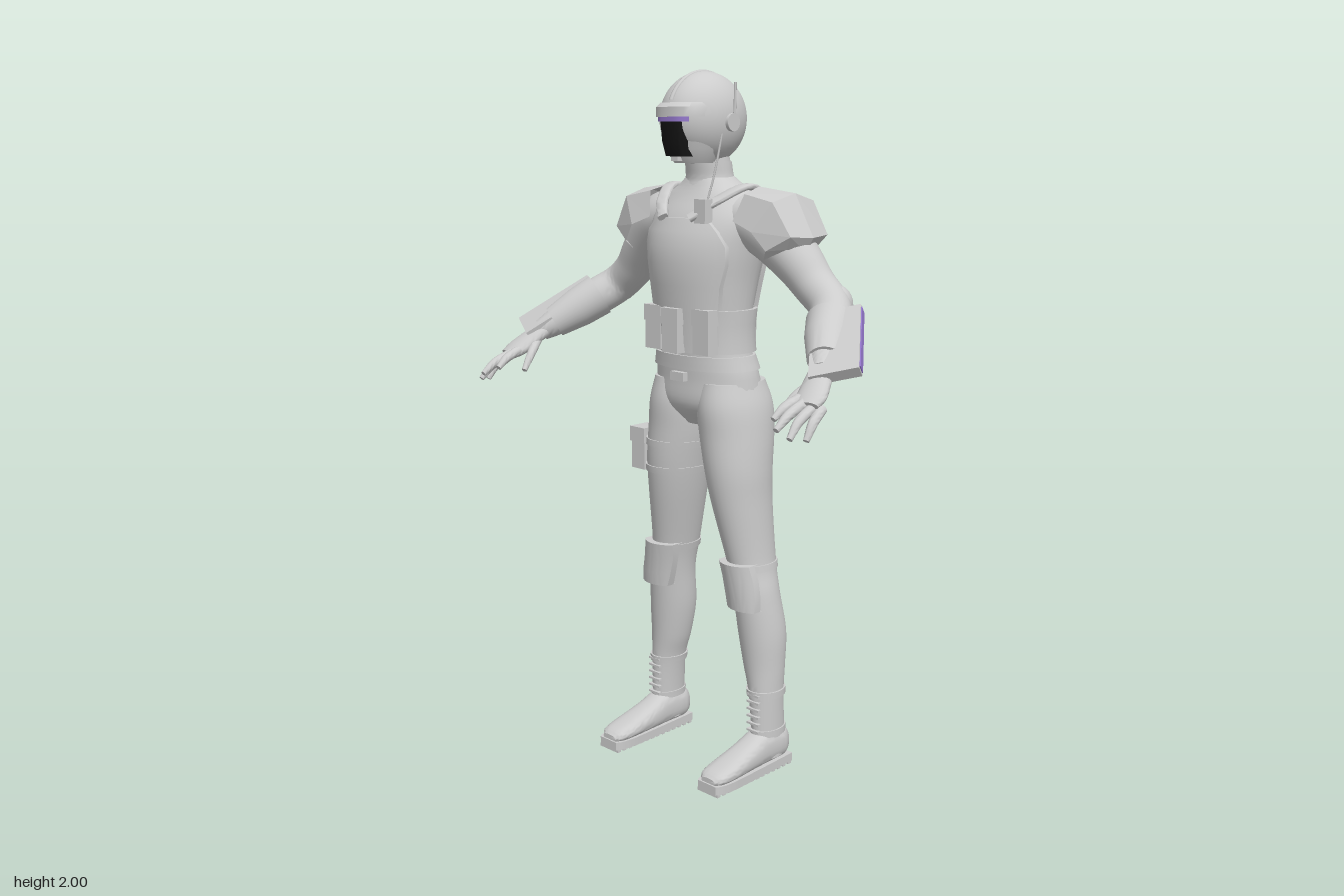
import * as THREE from 'three';
import { toCreasedNormals } from 'three/addons/utils/BufferGeometryUtils.js';

const V = (x, y, z) => new THREE.Vector3(x, y, z);
const UP = V(0, 1, 0), SIDE = V(1, 0, 0);

// Surface through rows of points; closed rows wrap around and get end caps
function grid(rows, closed) {
  const m = rows[0].length, pos = rows.flat().flatMap(p => [p.x, p.y, p.z]), idx = [];
  for (let i = 0; i < rows.length - 1; i++) for (let j = 0; j < (closed ? m : m - 1); j++) {
    const a = i * m + j, b = i * m + (j + 1) % m;
    idx.push(a, a + m, b, b, a + m, b + m);
  }
  if (closed) [0, rows.length - 1].forEach((r, end) => {
    const c = pos.length / 3, mid = V(0, 0, 0);
    rows[r].forEach(p => mid.addScaledVector(p, 1 / m));
    pos.push(mid.x, mid.y, mid.z);
    for (let j = 0; j < m; j++) {
      const a = r * m + j, b = r * m + (j + 1) % m;
      if (end) idx.push(c, b, a); else idx.push(c, a, b);
    }
  });
  const g = new THREE.BufferGeometry();
  g.setAttribute('position', new THREE.Float32BufferAttribute(pos, 3));
  g.setIndex(idx);
  g.computeVertexNormals();
  return g;
}

// Smooth rows of [x, y, z, radiusU, radiusV]
function smooth(rows, k = 6) {
  const a = new THREE.CatmullRomCurve3(rows.map(r => V(r[0], r[1], r[2])), false, 'catmullrom', 0.5);
  const b = new THREE.CatmullRomCurve3(rows.map(r => V(r[3], r[4], 0)), false, 'catmullrom', 0.5);
  const n = (rows.length - 1) * k;
  return Array.from({ length: n + 1 }, (_, i) => {
    const p = a.getPoint(i / n), q = b.getPoint(i / n);
    return [p.x, p.y, p.z, q.x, q.y];
  });
}

// Loft of rounded sections; axis fixes the section plane, otherwise it follows the path
function loft(rows, { axis = null, hint = SIDE, power = 1, n = 32 } = {}) {
  const P = rows.map(r => V(r[0], r[1], r[2]));
  const bend = (c) => Math.sign(c) * Math.abs(c) ** power;
  return toCreasedNormals(grid(rows.map((r, i) => {
    const t = axis ? axis.clone() : P[Math.min(i + 1, P.length - 1)].clone().sub(P[Math.max(i - 1, 0)]).normalize();
    const u = hint.clone().addScaledVector(t, -t.dot(hint)).normalize(), v = u.clone().cross(t);
    return Array.from({ length: n }, (_, j) => {
      const a = j / n * Math.PI * 2;
      return P[i].clone().addScaledVector(u, r[3] * bend(Math.cos(a))).addScaledVector(v, r[4] * bend(Math.sin(a)));
    });
  }), true), 0.8);
}

// Row of a vertical loft at height y
function at(rows, y) {
  let i = 0;
  while (i < rows.length - 2 && rows[i + 1][1] < y) i++;
  const f = (y - rows[i][1]) / (rows[i + 1][1] - rows[i][1]);
  return rows[i].map((v, k) => v + (rows[i + 1][k] - v) * f);
}
const band = (rows, y0, y1, off, power) => loft([0, 0.33, 0.67, 1].map(f => {
  const r = at(rows, y0 + (y1 - y0) * f);
  return [r[0], r[1], r[2], r[3] + off, r[4] + off];
}), { axis: UP, power });

// Raised plate hugging a vertical loft: outline of [y, halfWidth], side 1 front, -1 back
function plate(rows, outline, off, side) {
  const line = (y, w, o) => {
    const r = at(rows, y), rx = r[3] + o;
    return Array.from({ length: 19 }, (_, j) => {
      const rim = j === 0 || j === 18, c = 1 - 2 * Math.min(Math.max(j - 1, 0), 16) / 16;
      const x = side * w * c, d = rim ? -0.01 : o;
      return V(r[0] + x, y, r[2] + side * (r[4] + d) * Math.sqrt(Math.max(0, 1 - (x / rx) ** 2)));
    });
  };
  const lines = outline.map(([y, w]) => line(y, w, off)), end = outline.at(-1);
  return toCreasedNormals(grid([line(...outline[0], -0.01), ...lines, line(...end, -0.01)], false), 0.7);
}

function mirrored(geometry) {
  const g = geometry.index ? geometry.toNonIndexed() : geometry.clone();
  g.scale(-1, 1, 1);
  for (const a of Object.values(g.attributes)) for (let i = 0; i < a.count; i += 3) for (let k = 0; k < a.itemSize; k++) {
    const b = a.getComponent(i + 1, k);
    a.setComponent(i + 1, k, a.getComponent(i + 2, k));
    a.setComponent(i + 2, k, b);
  }
  return g;
}

export function createModel() {
  const model = new THREE.Group();
  const mat = (name, color, side = THREE.FrontSide) => Object.assign(new THREE.MeshStandardMaterial({ color, side }), { name });
  const grey = mat('suit grey', 0xcccccc, THREE.DoubleSide), black = mat('visor black', 0x141414), violet = mat('violet trim', 0x9478cc);
  const add = (name, g, m = grey) => {
    const mesh = new THREE.Mesh(g, m);
    mesh.name = name;
    model.add(mesh);
  };
  const pair = (name, g, m) => { add(name + 'Left', g, m); add(name + 'Right', mirrored(g), m); };
  const box = (w, h, d, x, y, z) => new THREE.BoxGeometry(w, h, d).translate(x, y, z);
  const rod = (pts, r) => new THREE.TubeGeometry(new THREE.CatmullRomCurve3(pts), 16, r, 6);

  // Torso and pelvis: height, half width, front, back
  const torso = smooth([
    [1.02, 0.07, -0.05, -0.19], [1.08, 0.165, -0.005, -0.235], [1.16, 0.168, 0.0, -0.22], [1.24, 0.148, 0.005, -0.2],
    [1.32, 0.148, 0.01, -0.2], [1.42, 0.158, 0.025, -0.22], [1.52, 0.175, 0.03, -0.24], [1.6, 0.185, 0.005, -0.245],
    [1.66, 0.15, -0.03, -0.23], [1.69, 0.1, -0.045, -0.2], [1.72, 0.06, -0.055, -0.175],
  ].map(([y, w, f, b]) => [0, y, (f + b) / 2, w, (f - b) / 2]));
  add('torso', loft(torso, { axis: UP, power: 0.92 }));
  add('chestPlate', plate(torso, [[1.25, 0.125], [1.34, 0.125], [1.42, 0.135], [1.48, 0.15], [1.53, 0.152], [1.57, 0.13], [1.605, 0.095]], 0.015, 1));
  add('backPlate', plate(torso, [[1.24, 0.115], [1.34, 0.12], [1.42, 0.135], [1.5, 0.15], [1.55, 0.145], [1.6, 0.12], [1.64, 0.085]], 0.018, -1));
  add('waistBand', band(torso, 1.235, 1.355, 0.012, 0.92));
  add('belt', band(torso, 1.185, 1.225, 0.008, 0.92));
  add('buckle', box(0.05, 0.025, 0.02, 0, 1.165, 0.008));
  for (const x of [-0.093, 0, 0.093]) {
    const z = 0.02 - x * x * 3;
    add('pouch', box(0.06, 0.12, 0.05, x, 1.295, z));
    add('pouchFlap', box(0.066, 0.045, 0.056, x, 1.337, z));
  }
  pair('shoulderStrap', loft(smooth([
    [0.05, 1.605, 0.02, 0.015, 0.008], [0.1, 1.65, -0.03, 0.018, 0.008], [0.14, 1.69, -0.12, 0.02, 0.008], [0.1, 1.65, -0.235, 0.018, 0.008],
  ]), { power: 0.5, n: 16 }));
  add('neck', loft([[0, 1.67, -0.125, 0.07, 0.065], [0, 1.8, -0.1, 0.055, 0.06]], { axis: UP }));
  add('collar', loft(smooth([[0, 1.68, -0.12, 0.085, 0.078], [0, 1.71, -0.115, 0.07, 0.066], [0, 1.755, -0.108, 0.064, 0.066]]), { axis: UP }));
  add('radio', box(0.04, 0.065, 0.03, 0.085, 1.625, 0.0));
  add('radioAntenna', rod([V(0.095, 1.64, 0), V(0.11, 1.72, -0.015), V(0.125, 1.83, -0.03)], 0.003));

  // Helmet with brim, visor and earpieces
  add('helmet', new THREE.SphereGeometry(1, 40, 28).scale(0.105, 0.127, 0.135).translate(0, 1.87, -0.088));
  add('helmetCrest', new THREE.TorusGeometry(0.126, 0.006, 8, 40, 2.3).rotateZ(0.4).rotateY(-Math.PI / 2).scale(1.2, 1, 1.07).translate(0, 1.869, -0.088));
  add('cheekGuard', loft([[0, 1.752, -0.055, 0.055, 0.06], [0, 1.79, -0.05, 0.075, 0.078], [0, 1.88, -0.05, 0.09, 0.088]], { axis: UP }));
  add('brim', loft([[0, 1.874, -0.035, 0.086, 0.09], [0, 1.9, -0.035, 0.086, 0.09], [0, 1.912, -0.04, 0.08, 0.08]], { axis: UP, power: 0.85 }));
  add('visorTrim', loft([[0, 1.862, -0.035, 0.062, 0.088], [0, 1.874, -0.035, 0.062, 0.088]], { axis: UP, power: 0.6 }), violet);
  add('visor', loft([[0, 1.77, -0.035, 0.044, 0.066], [0, 1.81, -0.035, 0.046, 0.08], [0, 1.862, -0.035, 0.046, 0.086]], { axis: UP, power: 0.5 }), black);
  add('microphone', box(0.025, 0.016, 0.02, 0, 1.765, 0.015));
  pair('earDisc', new THREE.CylinderGeometry(0.024, 0.024, 0.025, 24).rotateZ(Math.PI / 2).translate(0.1, 1.86, -0.09));
  add('helmetAntenna', rod([V(0.108, 1.86, -0.095), V(0.108, 1.91, -0.098), V(0.107, 1.965, -0.1)], 0.004));

  // Legs: height, inner, outer, front, back
  const leg = smooth([
    [0.04, 0.168, 0.246, -0.1, -0.21], [0.12, 0.168, 0.246, -0.095, -0.212], [0.24, 0.155, 0.248, -0.092, -0.208], [0.32, 0.133, 0.25, -0.088, -0.216],
    [0.42, 0.115, 0.25, -0.078, -0.224], [0.54, 0.106, 0.234, -0.065, -0.21], [0.63, 0.09, 0.216, -0.055, -0.214], [0.8, 0.05, 0.207, -0.022, -0.216],
    [0.9, 0.028, 0.206, -0.008, -0.222], [1.0, 0.006, 0.2, -0.004, -0.24], [1.08, 0.0, 0.189, 0.0, -0.246], [1.15, 0.012, 0.166, -0.01, -0.225],
  ].map(([y, i, o, f, b]) => [(i + o) / 2, y, (f + b) / 2, (o - i) / 2, (f - b) / 2]));
  pair('leg', loft(leg, { axis: UP }));
  pair('kneePad', plate(leg, [[0.5, 0.052], [0.54, 0.058], [0.59, 0.06], [0.635, 0.058]], 0.022, 1));
  pair('kneeStrap', band(leg, 0.61, 0.63, 0.004));
  pair('bootCuff', band(leg, 0.23, 0.25, 0.005));
  pair('ankleCuff', band(leg, 0.11, 0.13, 0.004));
  for (let y = 0.13; y < 0.24; y += 0.022) pair('bootLace', box(0.045, 0.006, 0.012, 0.205, y, -0.093));
  pair('boot', loft(smooth([
    [0.206, 0.07, -0.218, 0.03, 0.04], [0.206, 0.075, -0.19, 0.042, 0.052], [0.206, 0.075, -0.12, 0.043, 0.054],
    [0.206, 0.062, -0.05, 0.045, 0.04], [0.207, 0.05, 0.03, 0.048, 0.026], [0.207, 0.043, 0.08, 0.042, 0.018], [0.207, 0.038, 0.1, 0.026, 0.01],
  ]), { axis: V(0, 0, 1), power: 0.8 }));
  const sole = new THREE.Shape();
  sole.moveTo(-0.04, 0.22).lineTo(0.04, 0.22).quadraticCurveTo(0.046, 0.1, 0.05, -0.03)
    .quadraticCurveTo(0.05, -0.09, 0.034, -0.105).lineTo(-0.034, -0.105).quadraticCurveTo(-0.05, -0.09, -0.05, -0.03).quadraticCurveTo(-0.046, 0.1, -0.04, 0.22);
  pair('sole', new THREE.ExtrudeGeometry(sole, { depth: 0.025, bevelEnabled: false }).rotateX(-Math.PI / 2).translate(0.207, 0.008, 0));
  for (let i = 0; i < 14; i++) pair('tread', box(0.078, 0.009, 0.012, 0.207, 0.0045, -0.21 + i * 0.0235));

  // Thigh holster on the right
  add('holster', box(0.055, 0.125, 0.1, -0.235, 0.91, -0.105).rotateZ(0));
  add('holsterFlap', box(0.06, 0.045, 0.108, -0.236, 0.952, -0.105));
  for (const y of [0.86, 0.94]) add('thighStrap', mirrored(band(leg, y, y + 0.02, 0.004)));

  // Arms and cuffs
  const forward = V(0, 0, 1);
  pair('arm', loft(smooth([
    [0.12, 1.6, -0.13, 0.085, 0.075], [0.2, 1.58, -0.14, 0.09, 0.085], [0.29, 1.5, -0.148, 0.072, 0.068], [0.35, 1.435, -0.153, 0.06, 0.058],
    [0.41, 1.385, -0.145, 0.055, 0.056], [0.46, 1.34, -0.09, 0.056, 0.056], [0.52, 1.275, 0.005, 0.043, 0.043], [0.55, 1.245, 0.05, 0.034, 0.032],
  ]), { hint: forward }));
  pair('forearmGuard', loft([[0.45, 1.35, -0.1, 0.064, 0.064], [0.485, 1.313, -0.048, 0.062, 0.06], [0.53, 1.268, 0.015, 0.049, 0.047]], { hint: forward }));
  pair('elbowPad', new THREE.SphereGeometry(1, 16, 12).scale(0.048, 0.055, 0.045).translate(0.415, 1.385, -0.165));

  // Angular shoulder pads: front edge, crest and back edge of each section
  const pad = [[[0.16, 1.6, -0.035], [0.17, 1.69, -0.13], [0.16, 1.6, -0.245]], [[0.23, 1.575, -0.03], [0.29, 1.675, -0.14], [0.22, 1.575, -0.262]],
    [[0.27, 1.525, -0.045], [0.355, 1.56, -0.14], [0.27, 1.525, -0.25]], [[0.25, 1.5, -0.06], [0.33, 1.52, -0.14], [0.25, 1.5, -0.225]]]
    .map(s => {
      const [f, c, b] = s.map(p => V(...p));
      const shoulder = p => p.clone().lerp(c, 0.6).add(V(0.015, 0.018, (p.z - c.z) * 0.35));
      return [f, shoulder(f), c, shoulder(b), b];
    });
  const padGeometry = grid(pad.map(r => [...r].reverse()), false).toNonIndexed();
  padGeometry.computeVertexNormals();
  pair('shoulderPad', padGeometry);

  // Forearm blades with a violet outer edge
  const along = V(0.13, -0.13, 0.17).normalize(), across = V(-0.91, -0.25, 0.5);
  across.addScaledVector(along, -along.dot(across)).normalize();
  const blade = (l, w, t, inset) => {
    const c = V(0.595, 1.325, -0.045).addScaledVector(across, inset);
    return new THREE.BoxGeometry(l, w, t).applyMatrix4(new THREE.Matrix4().makeBasis(along, across, along.clone().cross(across)).setPosition(c));
  };
  pair('forearmBlade', blade(0.25, 0.13, 0.03, 0.065));
  pair('bladeTrim', blade(0.235, 0.004, 0.022, -0.001), violet);

  // Hands: palm, four fingers and thumb
  pair('palm', loft(smooth([
    [0.54, 1.255, 0.035, 0.032, 0.026], [0.555, 1.23, 0.075, 0.038, 0.022], [0.575, 1.195, 0.125, 0.043, 0.02], [0.583, 1.178, 0.155, 0.034, 0.014],
  ]), { n: 20 }));
  const digits = [
    [[0.55, 1.192, 0.14], [0.545, 1.175, 0.19], [0.54, 1.15, 0.225]], [[0.572, 1.185, 0.145], [0.574, 1.162, 0.21], [0.575, 1.132, 0.255]],
    [[0.593, 1.175, 0.14], [0.6, 1.15, 0.2], [0.605, 1.112, 0.24]], [[0.61, 1.172, 0.125], [0.62, 1.145, 0.17], [0.624, 1.105, 0.2]],
    [[0.54, 1.225, 0.07], [0.515, 1.185, 0.12], [0.5, 1.14, 0.16]],
  ];
  for (const d of digits) pair('finger', loft(smooth([0.014, 0.013, 0.008].map((r, i) => [...d[i], r, r])), { n: 12 }));
  return model;
}
